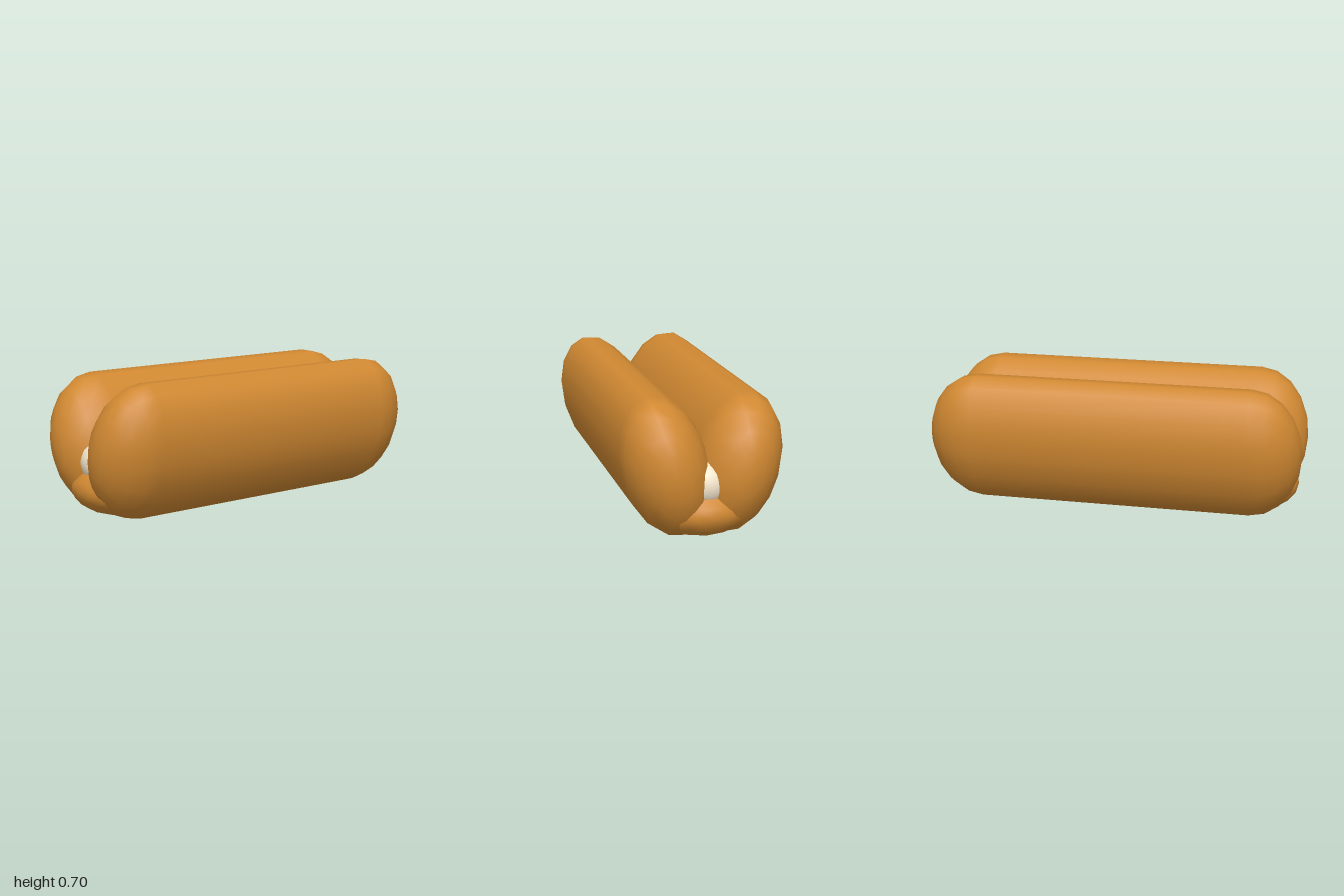
import * as THREE from 'three';

const crust = new THREE.MeshStandardMaterial({ color: 0xd18932 });
const cream = new THREE.MeshStandardMaterial({ color: 0xf5e6cc });

// Capsule lying along x: half length, cap depth, vertical and sideways radii, tilt about x
function roll(name, material, { half, cap, ry, rz, y, z = 0, tilt = 0 }) {
  const geometry = new THREE.CapsuleGeometry(1, 2 * (half / cap - 1), 5, 16);
  geometry.rotateZ(Math.PI / 2);
  geometry.scale(cap, ry, rz);
  geometry.rotateX(tilt);
  geometry.translate(0, y, z);
  const mesh = new THREE.Mesh(geometry, material);
  mesh.name = name;
  return mesh;
}

export function createModel() {
  const group = new THREE.Group();
  group.name = 'filledBun';

  // Two bun halves leaning outwards
  for (const side of [1, -1]) {
    group.add(roll(side > 0 ? 'frontBunHalf' : 'backBunHalf', crust, {
      half: 1, cap: 0.27, ry: 0.362, rz: 0.218, y: 0.356, z: 0.18 * side, tilt: 0.25 * side,
    }));
  }

  // Flat base joining the halves
  group.add(roll('bunBase', crust, { half: 0.975, cap: 0.25, ry: 0.147, rz: 0.27, y: 0.15 }));

  // Filling showing at both ends
  group.add(roll('filling', cream, { half: 0.945, cap: 0.12, ry: 0.12, rz: 0.12, y: 0.29 }));

  return group;
}
